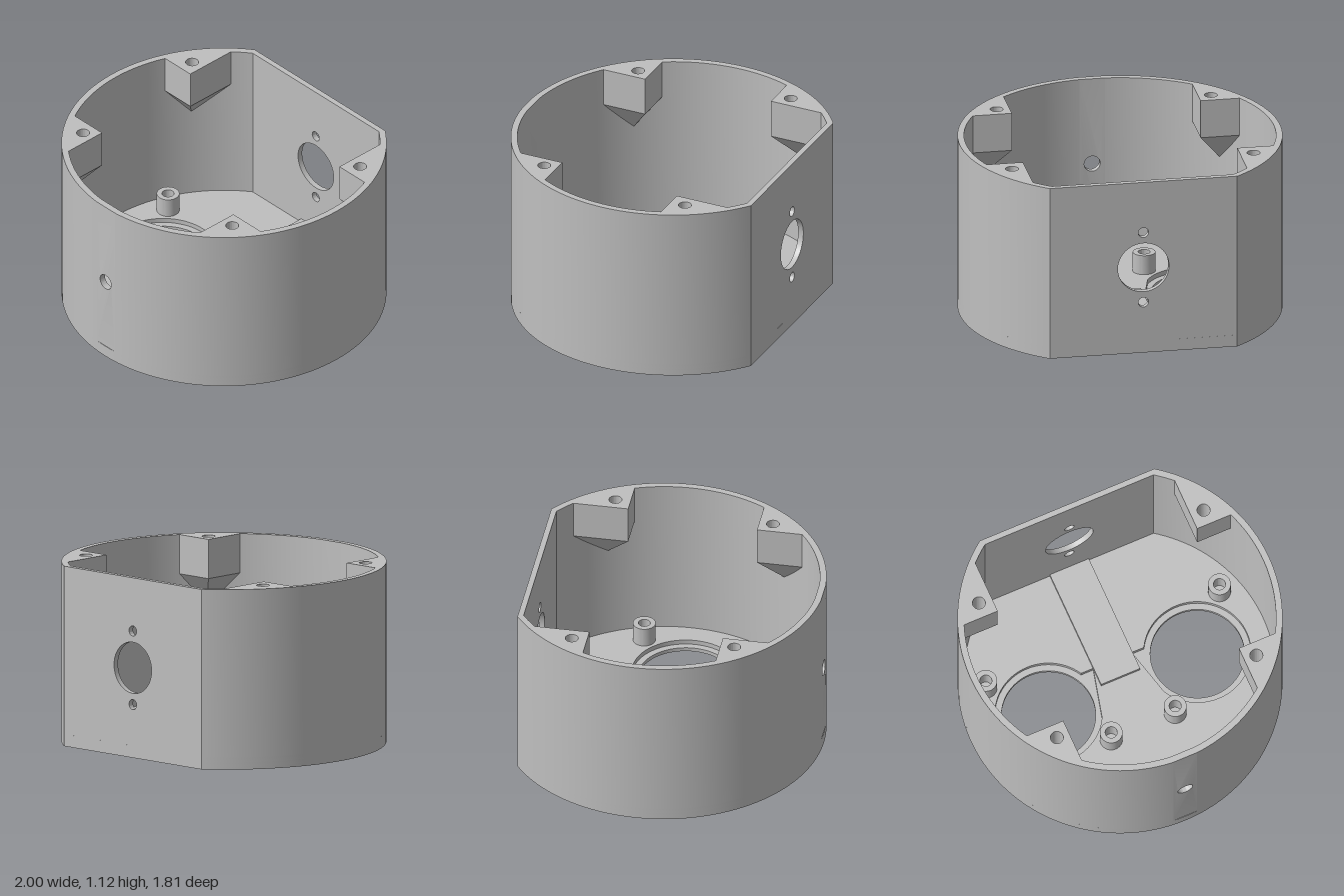
import * as THREE from 'three';
import { toCreasedNormals } from 'three/addons/utils/BufferGeometryUtils.js';
import { ConvexGeometry } from 'three/addons/geometries/ConvexGeometry.js';

const H = 1.125, FLOOR = 0.075, R = 1, RI = 0.96, CZ = -0.095, BACK = -0.905, MID = H / 2;

// Plan shapes use (x, s) with s = -z
const plan = (pts) => new THREE.Shape(pts);
const flip = (pts, side) => pts.map((p) => new THREE.Vector2(p.x * side, p.y));
const circle = (x, s, r) => new THREE.Path().absarc(x, s, r, 0, Math.PI * 2);
const rect = (x0, y0, x1, y1) => [[x0, y0], [x1, y0], [x1, y1], [x0, y1]].map((p) => new THREE.Vector2(...p));

function extrude(shape, depth, holes = []) {
  shape.holes.push(...holes);
  return new THREE.ExtrudeGeometry(shape, { depth, bevelEnabled: false, curveSegments: 48 });
}
// Extrude a plan shape upward from y0 to y1
function slab(shape, y0, y1, holes) {
  const g = extrude(shape, y1 - y0, holes).rotateX(-Math.PI / 2).translate(0, y0, 0);
  return toCreasedNormals(g, 0.5);
}

export function createModel() {
  const group = new THREE.Group();
  const grey = new THREE.MeshStandardMaterial({ color: 0xbfbfbf });
  grey.name = 'grey plastic';
  const add = (name, geo) => {
    const m = new THREE.Mesh(geo, grey);
    m.name = name;
    group.add(m);
  };
  const sides = [1, -1];

  // Floor: three layers make the recesses below and above the round openings
  const a = Math.atan2(-CZ + 0.81 + CZ, 0.586);
  const outline = () => plan(new THREE.Path().absarc(0, -CZ, R, Math.PI - a, Math.PI * 2 + a).getPoints(64));
  const recess = new THREE.Path();
  recess.moveTo(0.13, -0.105);
  recess.absarc(0.5, 0.05, 0.33, Math.atan2(-0.155, -0.291), Math.atan2(0.16, -0.289));
  recess.lineTo(0.13, 0.21);
  const recessPts = recess.getPoints(32);

  add('floorUnderside', slab(outline(), 0, 0.02, [
    ...sides.map((k) => circle(0.5 * k, 0.05, 0.418)),
    new THREE.Path(rect(-0.735, 0.5, 0.735, 0.68)),
  ]));
  add('floorLip', slab(outline(), 0.02, 0.045, sides.map((k) => circle(0.5 * k, 0.05, 0.29))));
  add('floorTop', slab(outline(), 0.045, FLOOR, sides.map((k) => new THREE.Path(flip(recessPts, k)))));
  add('floorStrip', slab(plan(rect(-0.131, 0.085, 0.131, 0.88)), FLOOR - 0.03, FLOOR + 0.025));

  // Curved side walls
  const w = 0.08;
  const wall = new THREE.Path();
  wall.absarc(0, -CZ, R, -Math.PI / 2 + Math.asin(w / R), a);
  wall.lineTo(0.566, 0.905);
  wall.lineTo(0.566, 0.87);
  wall.absarc(0, -CZ, RI, Math.atan2(0.775, 0.566), -Math.PI / 2 + Math.asin(w / RI), true);
  const wallPts = wall.getPoints(40);
  for (const k of sides) add('sideWall', slab(plan(flip(wallPts, k)), FLOOR, H));

  // Front wall patch with a cable hole, bent to the wall radius
  const front = extrude(plan(rect(-w, FLOOR, w, H)), R - RI, [circle(0, MID, 0.05)]);
  const p = front.attributes.position;
  for (let i = 0; i < p.count; i++) {
    p.setZ(i, CZ + Math.sqrt((RI + p.getZ(i)) ** 2 - p.getX(i) ** 2));
  }
  front.computeVertexNormals();
  add('frontWall', toCreasedNormals(front, 0.5));

  // Flat back panel with a large opening and two screw holes
  const back = extrude(plan(rect(-0.566, FLOOR, 0.566, H)), 0.035, [
    circle(0, MID, 0.16), circle(0, MID + 0.23, 0.032), circle(0, MID - 0.23, 0.032),
  ]).translate(0, 0, BACK);
  add('backPanel', toCreasedNormals(back, 0.5));

  // Corner screw lugs: drilled block with a tapered support below
  // cx, cz: inner corner, hx, hz: screw hole
  const lugs = [[0.67, -0.44, 0.755, -0.535], [0.59, 0.38, 0.67, 0.465]];
  const rl = 0.975, lugY = H - 0.245;
  for (const [cx, cz, hx, hz] of lugs) {
    const dir = Math.sign(cz), b = Math.abs(cz - CZ);
    const xEnd = Math.sqrt(rl * rl - b * b), zEnd = Math.sqrt(rl * rl - cx * cx);
    const t = (-(cx + b) + Math.sqrt((cx + b) ** 2 - 2 * (cx * cx + b * b - rl * rl))) / 2;
    const a0 = Math.atan2(b, xEnd), a1 = Math.atan2(zEnd, cx);
    const pts = [new THREE.Vector2(cx, -cz)];
    for (let i = 0; i <= 12; i++) {
      const q = a0 + (a1 - a0) * i / 12;
      pts.push(new THREE.Vector2(rl * Math.cos(q), -(CZ + dir * rl * Math.sin(q))));
    }
    for (const k of sides) {
      add('screwLug', slab(plan(flip(pts, k)), lugY, H, [circle(hx * k, -hz, 0.04)]));
      add('lugSupport', new ConvexGeometry([
        new THREE.Vector3(cx * k, lugY, cz),
        new THREE.Vector3(xEnd * k, lugY, cz),
        new THREE.Vector3(cx * k, lugY, CZ + dir * zEnd),
        new THREE.Vector3((cx + t) * k, H - 0.45, CZ + dir * (b + t)),
      ]));
    }
  }

  // Hollow mounting posts on the floor
  for (const [x, z] of [[0.785, -0.36], [0.215, 0.26]]) {
    for (const k of sides) {
      const ring = plan(circle(x * k, -z, 0.07).getPoints(24));
      add('mountingPost', slab(ring, FLOOR, 0.2, [circle(x * k, -z, 0.037)]));
    }
  }
  return group;
}
